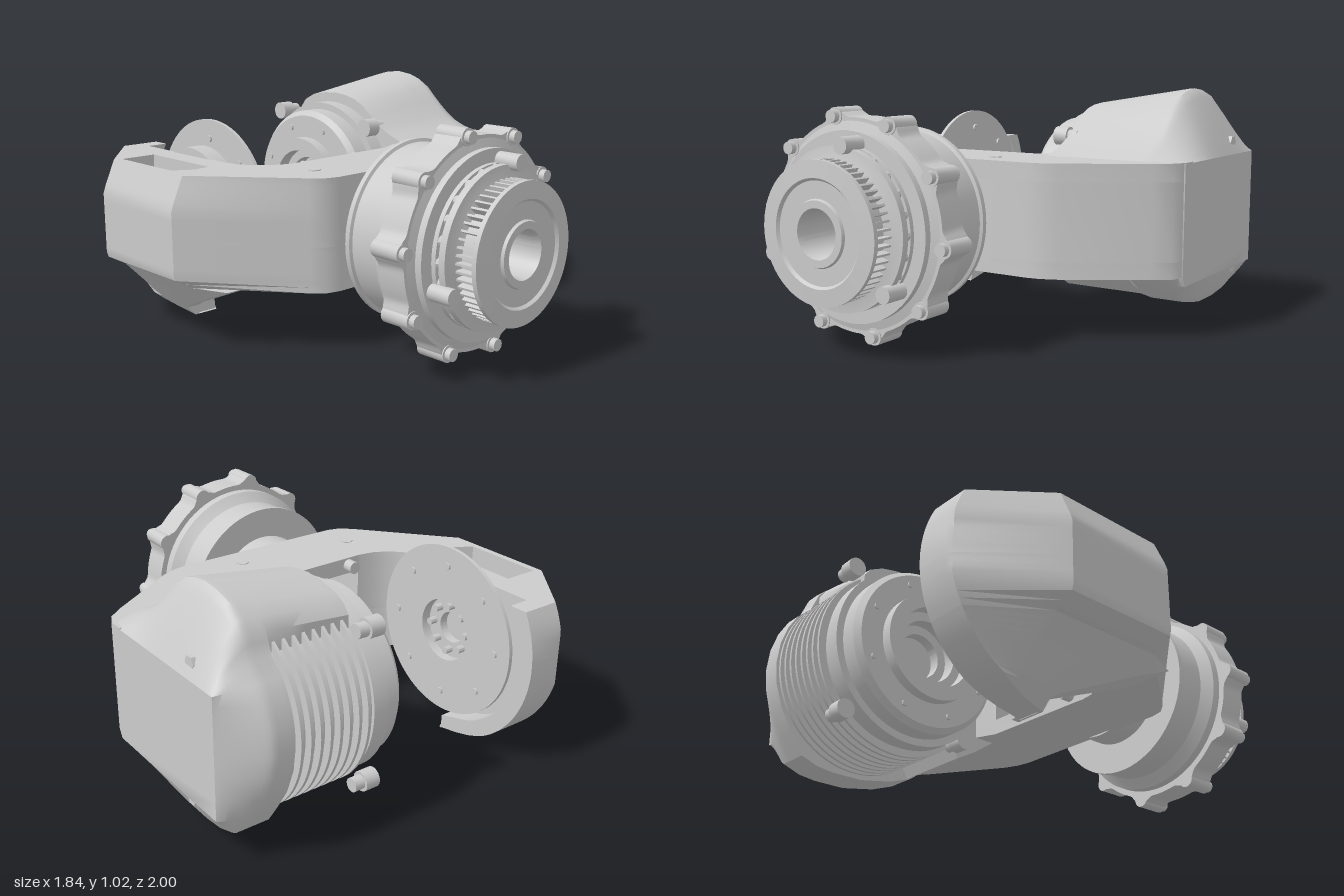
import * as THREE from 'three';
import { toCreasedNormals } from 'three/addons/utils/BufferGeometryUtils.js';

const { lerp, clamp, smoothstep } = THREE.MathUtils;
const mat = new THREE.MeshStandardMaterial({ color: 0xcccccc, side: THREE.DoubleSide });
const CY = 0.5, CZ = -0.51;      // pivot axis of the fork (along x)
const WX = -0.118, WY = 0.492;   // wrist axis (along z)
const rad = (d) => d * Math.PI / 180;

export function createModel() {
  const root = new THREE.Group();

  function add(name, geo, parent = root) {
    const m = new THREE.Mesh(toCreasedNormals(geo, 0.6), mat);
    m.name = name;
    parent.add(m);
    return m;
  }
  const toShape = (pts, hole) => {
    const s = new THREE.Shape(pts.map((p) => new THREE.Vector2(...p)));
    if (hole) s.holes.push(new THREE.Path(hole.map((p) => new THREE.Vector2(...p))));
    return s;
  };
  // Apply a vertex rule (x, y, z) => [x, y, z]
  function warp(geo, rule) {
    const p = geo.attributes.position;
    for (let i = 0; i < p.count; i++) p.setXYZ(i, ...rule(p.getX(i), p.getY(i), p.getZ(i)));
    return geo;
  }
  // Plan outline [x, z] raised from y0 to y1
  function plan(pts, y0, y1, steps = 1, hole) {
    const flip = (a) => a && a.map(([x, z]) => [x, -z]);
    return new THREE.ExtrudeGeometry(toShape(flip(pts), flip(hole)), { depth: y1 - y0, steps, bevelEnabled: false })
      .rotateX(-Math.PI / 2).translate(0, y0, 0);
  }
  // Side outline [-z, y] swept from x0 to x1
  const side = (pts, x0, x1, steps) =>
    new THREE.ExtrudeGeometry(toShape(pts), { depth: x1 - x0, steps, bevelEnabled: false })
      .rotateY(Math.PI / 2).translate(x0, 0, 0);
  const lathe = (pts) => new THREE.LatheGeometry(pts.map((p) => new THREE.Vector2(...p)), 72);
  const latheX = (pts) => lathe(pts).rotateZ(-Math.PI / 2).translate(0, CY, CZ);
  const latheZ = (pts) => lathe(pts).rotateX(Math.PI / 2).translate(WX, WY, 0);
  const rodX = (r, x0, x1, y, z, seg = 16) =>
    new THREE.CylinderGeometry(r, r, x1 - x0, seg).rotateZ(-Math.PI / 2).translate((x0 + x1) / 2, y, z);
  const rodZ = (r, z0, z1, x, y, seg = 16) =>
    new THREE.CylinderGeometry(r, r, z1 - z0, seg).rotateX(Math.PI / 2).translate(x, y, (z0 + z1) / 2);

  // ---- Left fork arm: bevelled plan with a round, rimmed end ----
  const arc = (r, y) => Math.sqrt(Math.max(0, r * r - (y - CY) ** 2));
  const outerLimit = (y) => {
    if (y < 0.258) return lerp(0.58, 0.83, y / 0.258);
    if (y < 0.31) return lerp(0.83, 0.92, (y - 0.258) / 0.052);
    return lerp(0.92, 0.86, clamp((y - 0.6) / 0.135, 0, 1));
  };
  const armRule = (x, y, z) => {
    const front = y < 0.2579 ? lerp(-0.5, 0, clamp((y - 0.05) / 0.208, 0, 1)) : 1;
    const rim = Math.abs(z + 0.94) < 0.001;
    const nz = rim ? CZ - arc(0.42, y) : Math.max(z, CZ - arc(0.49 + 0.01 * smoothstep(y, 0, 0.1), y) + 0.01);
    return [Math.max(x, -outerLimit(y)), y, Math.min(nz, front)];
  };
  const armEnd = [[-0.92, -0.155], [-0.92, -0.67], [-0.64, -0.985], [-0.61, -1.02], [-0.465, -1.02], [-0.465, -0.94], [-0.56, -0.94]];
  const corner = [0, 1, 2, 3, 4, 5].map((i) => {
    const a = rad(i * 18);
    return [-0.33 - 0.23 * Math.cos(a), -0.27 + 0.22 * Math.sin(a)];
  });
  const armPlan = [...armEnd, ...corner, [-0.33, 0.3], [-0.42, 0.3], [-0.48, 0.285], [-0.53, 0.24]];
  const pocket = [[-0.83, -0.65], [-0.67, -0.65], [-0.67, -0.24], [-0.75, -0.23], [-0.83, -0.28]];
  add('leftArmTip', warp(plan([...armEnd, [-0.56, 0], [-0.77, 0]], 0, 0.258, 12), armRule));
  add('leftArm', warp(plan(armPlan, 0.258, 0.45, 8), armRule));
  add('leftArmTop', warp(plan(armPlan, 0.45, 0.735, 8, pocket), armRule));
  // curved inner wall of the pocket
  add('pocketWedge', plan([[-0.83, -0.23], [-0.67, -0.23], [-0.69, -0.33], [-0.74, -0.42], [-0.83, -0.46]], 0.44, 0.62));

  // ---- Bridge: two plates and a bored front wall, open to the back ----
  const right = [[0.375, 0.3], [0.44, 0.29], [0.51, 0.26], [0.825, 0.055], [0.895, 0], [0.92, -0.06], [0.92, -0.12],
    [0.3, -0.1], [0.2, -0.06]];
  add('bridgeBottomPlate', plan([[-0.34, 0.3], ...right, [-0.34, -0.05]], 0.26, 0.33));
  add('bridgeTopPlate', plan([[-0.34, 0.3], ...right, [-0.34, -0.05]], 0.66, 0.735));
  add('rightArmRoot', plan([[0.2, 0.3], ...right], 0.33, 0.66));
  const wall = toShape([[-0.34, 0.26], [0.2, 0.26], [0.2, 0.735], [-0.34, 0.735]]);
  wall.holes.push(new THREE.Path().absarc(WX, WY, 0.11, 0, Math.PI * 2, true));
  add('bridgeWall', new THREE.ExtrudeGeometry(wall, { depth: 0.1, bevelEnabled: false, curveSegments: 32 }).translate(0, 0, 0.2));
  for (const x of [-0.27, 0.04]) for (const y of [0.3, 0.7]) add('bridgeBolt', rodZ(0.028, -0.1, -0.03, x, y));
  for (const [x, z] of [[-0.4, 0.125], [0.15, 0.18]])
    add('topScrew', new THREE.CylinderGeometry(0.028, 0.028, 0.006, 6).translate(x, 0.736, z));

  // ---- Right motor housing: sleeve over the top and front, closed outer cap ----
  const crown = [[0, 0.26], [0, 0.735], [0.07, 0.765], [0.13, 0.795], [0.18, 0.83], [0.25, 0.9], [0.31, 0.96], [0.36, 0.99], [0.42, 1.01],
    [0.5, 1.02], [0.58, 1.012], [0.66, 0.99], [0.72, 0.95]];
  const capSide = [...crown, [0.755, 0.91], [0.77, 0.87], [0.79, 0.82], [0.85, 0.76], [0.89, 0.69], [0.92, 0.6], [0.93, 0.5], [0.92, 0.41],
    [0.88, 0.3], [0.82, 0.2], [0.76, 0.11], [0.68, 0.08], [0.6, 0.07], [0.45, 0.07], [0.29, 0.1], [0.18, 0.14], [0.07, 0.22]];
  const inner = [];
  for (let a = 52; a <= 229; a += 7) inner.push([-CZ + 0.39 * Math.cos(rad(a)), CY + 0.39 * Math.sin(rad(a))]);
  const rise = (x, y) => (y > 0.735 ? 0.735 + (y - 0.735) * lerp(0.74, 1, clamp((x - 0.295) / 0.45, 0, 1)) : y);
  add('housingSleeve', warp(side([[0.2, 0.135], [0.1, 0.19], ...crown, [0.75, 0.9], ...inner], 0.295, 0.675, 6),
    (x, y, z) => [x, rise(x, y), z]));
  // each edge of the cap runs straight to a smaller flat end face
  add('housingCap', warp(side(capSide, 0.67, 0.92, 15), (x, y, z) => {
    const top = clamp((x - 0.76) / 0.16, 0, 1) ** 1.15;
    const low = clamp((x - 0.82) / 0.1, 0, 1) ** 1.3;
    const r = rise(x, y);
    return [x, lerp(r, clamp(r, 0.22, 0.73), y > 0.5 ? top : low), lerp(z, clamp(z, -0.79, -0.05), top)];
  }));
  for (const y of [0.22, 0.78]) add('housingScrew', rodX(0.03, 0.84, y > 0.5 ? 0.9 : 0.915, y, -0.61, 6));

  // ---- Motor inside the housing ----
  const motor = new THREE.Group();
  motor.name = 'pivotMotor';
  root.add(motor);
  add('motorBody', latheX([[0, 0.24], [0.1, 0.24], [0.1, 0.19], [0.14, 0.19], [0.14, 0.13], [0.18, 0.13], [0.18, 0.07], [0.24, 0.07],
    [0.24, 0.12], [0.345, 0.12], [0.368, 0.145], [0.368, 0.22], [0.4, 0.22], [0.4, 0.29], [0.385, 0.29], [0.385, 0.7], [0, 0.7]]), motor);
  for (let i = 0; i < 8; i++) add('coolingFin', rodX(0.42, 0.322 + i * 0.044, 0.335 + i * 0.044, CY, CZ, 72), motor);
  for (const sy of [-1, 1]) for (const dz of [-0.325, 0.29]) {
    const y = CY + sy * (dz < 0 ? 0.33 : 0.305), z = CZ + dz;
    add('motorLug', rodX(0.042, 0.22, 0.285, y, z), motor);
    add('motorBolt', rodX(0.03, 0.285, 0.33, y, z, 12), motor);
  }
  for (let i = 0; i < 8; i++) {
    const a = rad(i * 45 + 22);
    add('faceScrew', rodX(0.014, 0.11, 0.128, CY + 0.3 * Math.cos(a), CZ + 0.3 * Math.sin(a), 10), motor);
  }

  // ---- Pivot disc on the left arm ----
  const disc = new THREE.Group();
  disc.name = 'pivotDisc';
  root.add(disc);
  add('discPlate', latheX([[0.14, -0.462], [0.385, -0.462], [0.385, -0.445], [0.14, -0.445], [0.14, -0.462]]), disc);
  add('discHub', latheX([[0, -0.57], [0.27, -0.57], [0.27, -0.49], [0.2, -0.462], [0.14, -0.462], [0.14, -0.49], [0.07, -0.49],
    [0.07, -0.53], [0, -0.53]]), disc);
  for (let i = 0; i < 8; i++) {
    const a = rad(i * 45);
    const at = (r) => [CY + r * Math.cos(a), CZ + r * Math.sin(a)];
    add('hubBolt', rodX(0.016, -0.5, -0.455, ...at(0.105), 10), disc);
    add('discBolt', rodX(0.016, -0.47, -0.435, ...at(0.3), 10), disc);
  }

  // ---- Wrist actuator on the front, bored right through ----
  const wrist = new THREE.Group();
  wrist.name = 'wristActuator';
  root.add(wrist);
  add('wristBody', latheZ([[0.1, 0.28], [0.24, 0.28], [0.24, 0.41], [0.378, 0.41], [0.378, 0.432], [0.365, 0.437], [0.365, 0.57],
    [0.385, 0.59], [0.408, 0.61], [0.408, 0.65], [0.42, 0.65], [0.42, 0.78], [0.385, 0.79], [0.385, 0.82], [0.33, 0.82], [0.33, 0.84],
    [0.3, 0.84], [0.3, 0.855], [0.33, 0.855], [0.33, 0.885], [0.28, 0.89], [0.25, 0.9], [0.25, 0.975], [0.285, 0.975], [0.285, 0.995],
    [0.215, 1], [0.205, 0.988], [0.135, 0.988], [0.13, 1], [0.1, 1], [0.092, 0.97], [0.1, 0.28]]), wrist);
  // scalloped ring with ten lugs
  const ring = [];
  for (let i = 0; i < 180; i++) {
    const a = rad(i * 2), r = 0.434 + 0.036 * Math.max(0, Math.cos(10 * (a - rad(102)))) ** 1.5;
    ring.push(new THREE.Vector2(WX + r * Math.cos(a), WY + r * Math.sin(a)));
  }
  const ringShape = new THREE.Shape(ring);
  ringShape.holes.push(new THREE.Path().absarc(WX, WY, 0.38, 0, Math.PI * 2, true));
  add('lugRing', new THREE.ExtrudeGeometry(ringShape, { depth: 0.13, bevelEnabled: false, curveSegments: 48 }).translate(0, 0, 0.65), wrist);
  const around = (r, deg) => [WX + r * Math.cos(rad(deg)), WY + r * Math.sin(rad(deg))];
  for (let i = 0; i < 10; i++) {
    add('lug', rodZ(0.036, 0.65, 0.785, ...around(0.445, 102 + i * 36)), wrist);
    add('lugBolt', rodZ(0.026, 0.77, 0.81, ...around(0.445, 102 + i * 36), 12), wrist);
  }
  for (const d of [80, -40, -160]) add('clampBolt', rodZ(0.034, 0.82, 0.925, ...around(0.34, d)), wrist);
  for (let i = 0; i < 24; i++) add('coilEnd', rodZ(0.02, 0.82, 0.87, ...around(0.31, i * 15), 8), wrist);
  // radial vanes of the front rotor
  for (let i = 0; i < 56; i++) {
    const a = i * Math.PI / 28;
    add('rotorVane', new THREE.BoxGeometry(0.04, 0.009, 0.08).translate(0.262, 0, 0.935).rotateZ(a).translate(WX, WY, 0), wrist);
  }
  return root;
}
